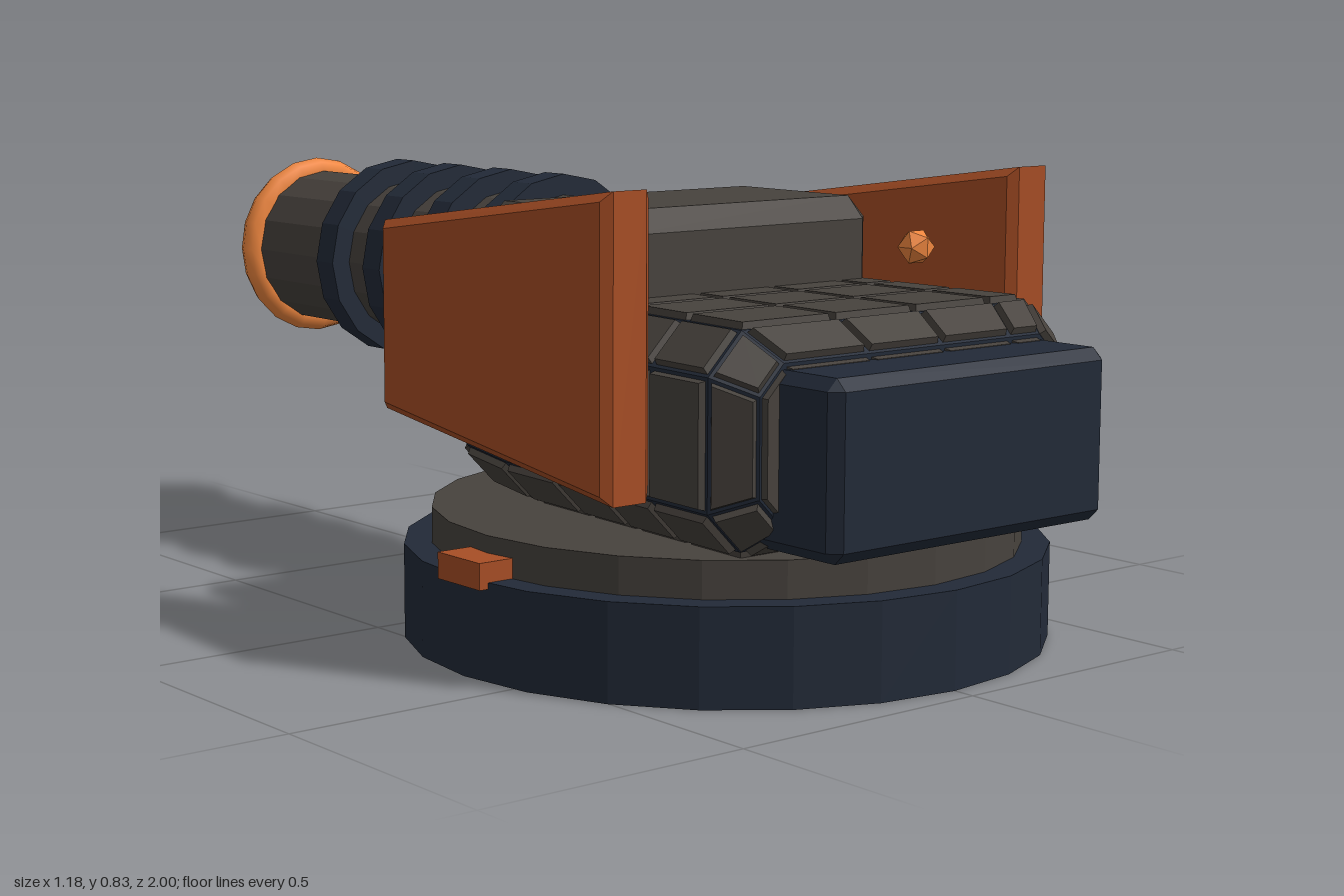
import * as THREE from 'three';
import { ConvexGeometry } from 'three/addons/geometries/ConvexGeometry.js';

const paint = (color) => new THREE.MeshStandardMaterial({ color, flatShading: true });
const GREY = paint(0x47423d), NAVY = paint(0x222a38), ORANGE = paint(0xa84e25), GLOW = paint(0xf0873f);

// Box with every edge cut at 45 degrees
function chamferBox(w, h, d, c) {
  const pts = [];
  for (const sx of [-1, 1]) for (const sy of [-1, 1]) for (const sz of [-1, 1]) {
    const x = w / 2, y = h / 2, z = d / 2;
    pts.push(
      new THREE.Vector3(sx * x, sy * (y - c), sz * (z - c)),
      new THREE.Vector3(sx * (x - c), sy * y, sz * (z - c)),
      new THREE.Vector3(sx * (x - c), sy * (y - c), sz * z));
  }
  return new ConvexGeometry(pts);
}

// One hull cross-section, counter-clockwise seen from the front
function section(z, w, y0, y1, c) {
  const cuts = [-1, -0.37, 0.2, 0.75, 1], flat = w - c;
  const p = (x, y) => new THREE.Vector3(x, y, z);
  return [
    ...cuts.map((f) => p(f * flat, y0)), p(w, y0 + c), p(w, y1 - c),
    ...[...cuts].reverse().map((f) => p(f * flat, y1)), p(-w, y1 - c), p(-w, y0 + c)];
}

// All four-cornered panels of the hull, facing outward
function hullQuads() {
  const rings = [
    section(0.01, 0.29, 0.305, 0.54, 0.05),
    section(0.07, 0.35, 0.26, 0.6, 0.07),
    ...[0.2, 0.36, 0.5, 0.64].map((z) => section(z, 0.35 + 0.062 * (z - 0.07), 0.247, 0.608, 0.07)),
    section(0.79, 0.395, 0.247, 0.608, 0.07),
    section(0.858, 0.345, 0.295, 0.56, 0.05)];
  const quads = [], n = rings[0].length;
  for (let j = 0; j < rings.length - 1; j++) for (let i = 0; i < n; i++) {
    const k = (i + 1) % n;
    quads.push([rings[j][i], rings[j][k], rings[j + 1][k], rings[j + 1][i]]);
  }
  const caps = [[4, 5, 6, 7], [13, 0, 11, 12]];
  for (let k = 0; k < 4; k++) caps.push([k, k + 1, 10 - k, 11 - k]);
  for (const cap of caps) {
    quads.push(cap.map((i) => rings[rings.length - 1][i]));
    quads.push(cap.map((i) => rings[0][i]).reverse());
  }
  return quads;
}

function quadGeometry(quads) {
  const pts = quads.flatMap(([a, b, c, d]) => [a, b, c, a, c, d]);
  const g = new THREE.BufferGeometry().setFromPoints(pts);
  g.computeVertexNormals();
  return g;
}

// Move each corner inward along both of its edges
function inset(q, gap) {
  return q.map((p, i) => {
    const out = p.clone();
    for (const o of [q[(i + 1) % 4], q[(i + 3) % 4]]) {
      const e = o.clone().sub(p);
      out.addScaledVector(e.normalize(), Math.min(gap, o.distanceTo(p) * 0.3));
    }
    return out;
  });
}

// Raised armour tile: a lid and four sloping walls
function tile(q) {
  const normal = q[2].clone().sub(q[0]).cross(q[3].clone().sub(q[1])).normalize();
  const base = inset(q, 0.006);
  const lid = inset(q, 0.009).map((p) => p.addScaledVector(normal, 0.012));
  const walls = base.map((p, i) => [p, base[(i + 1) % 4], lid[(i + 1) % 4], lid[i]]);
  return [lid, ...walls];
}

export function createModel() {
  const model = new THREE.Group();
  const add = (name, geometry, material, x = 0, y = 0, z = 0) => {
    const mesh = new THREE.Mesh(geometry, material);
    mesh.name = name;
    mesh.position.set(x, y, z);
    model.add(mesh);
    return mesh;
  };

  // Round base and turntable
  add('base', new THREE.CylinderGeometry(0.58, 0.58, 0.17, 24), NAVY, 0, 0.085, 0.38);
  add('turntable', new THREE.CylinderGeometry(0.53, 0.53, 0.075, 24), GREY, 0, 0.1975, 0.38);

  // Armoured hull: dark core with raised tiles
  const quads = hullQuads();
  add('hullCore', quadGeometry(quads), NAVY);
  add('hullTiles', quadGeometry(quads.flatMap(tile)), GREY);

  // Front block and upper housing
  add('frontBlock', chamferBox(0.63, 0.295, 0.23, 0.02), NAVY, 0, 0.4025, 0.885);
  add('upperHousing', chamferBox(0.65, 0.34, 0.37, 0.04), GREY, 0, 0.6, 0.245);

  // Barrel with collars and muzzle ring
  const axisY = 0.595;
  const tube = (r, length) => new THREE.CylinderGeometry(r, r, length, 16).rotateX(Math.PI / 2);
  add('barrel', tube(0.16, 1.07), GREY, 0, axisY, -0.435);
  for (let i = 0; i < 4; i++) add('barrelCollar', tube(0.2, 0.06), NAVY, 0, axisY, -0.125 - 0.169 * i);
  const muzzle = add('muzzleRing', new THREE.TorusGeometry(0.158, 0.029, 8, 20), GLOW, 0, axisY, -0.971);
  muzzle.material = GLOW.clone();
  muzzle.material.flatShading = false;

  // Sensor bead above the hull
  add('sensor', new THREE.IcosahedronGeometry(0.034, 0), GLOW, 0.273, 0.69, 0.58);

  // Side shields, bevelled, and base tabs
  const b = 0.016;
  const outline = new THREE.Shape([
    [-0.68 + b, 0.325 + b], [-0.035 - b, 0.405 + b], [-0.035 - b, 0.745 - b], [-0.68 + b, 0.83 - b],
  ].map(([x, y]) => new THREE.Vector2(x, y)));
  const shield = new THREE.ExtrudeGeometry(outline, {
    depth: 0.1 - 2 * b, bevelEnabled: true, bevelSize: b, bevelThickness: b, bevelSegments: 1,
  }).translate(0, 0, b - 0.05).rotateY(Math.PI / 2);
  for (const s of [-1, 1]) {
    const side = s > 0 ? 'left' : 'right';
    add(side + 'Shield', shield, ORANGE, s * 0.464);
    add(side + 'BaseTab', new THREE.BoxGeometry(0.12, 0.046, 0.12), ORANGE, s * 0.53, 0.182, 0.38);
  }
  return model;
}
